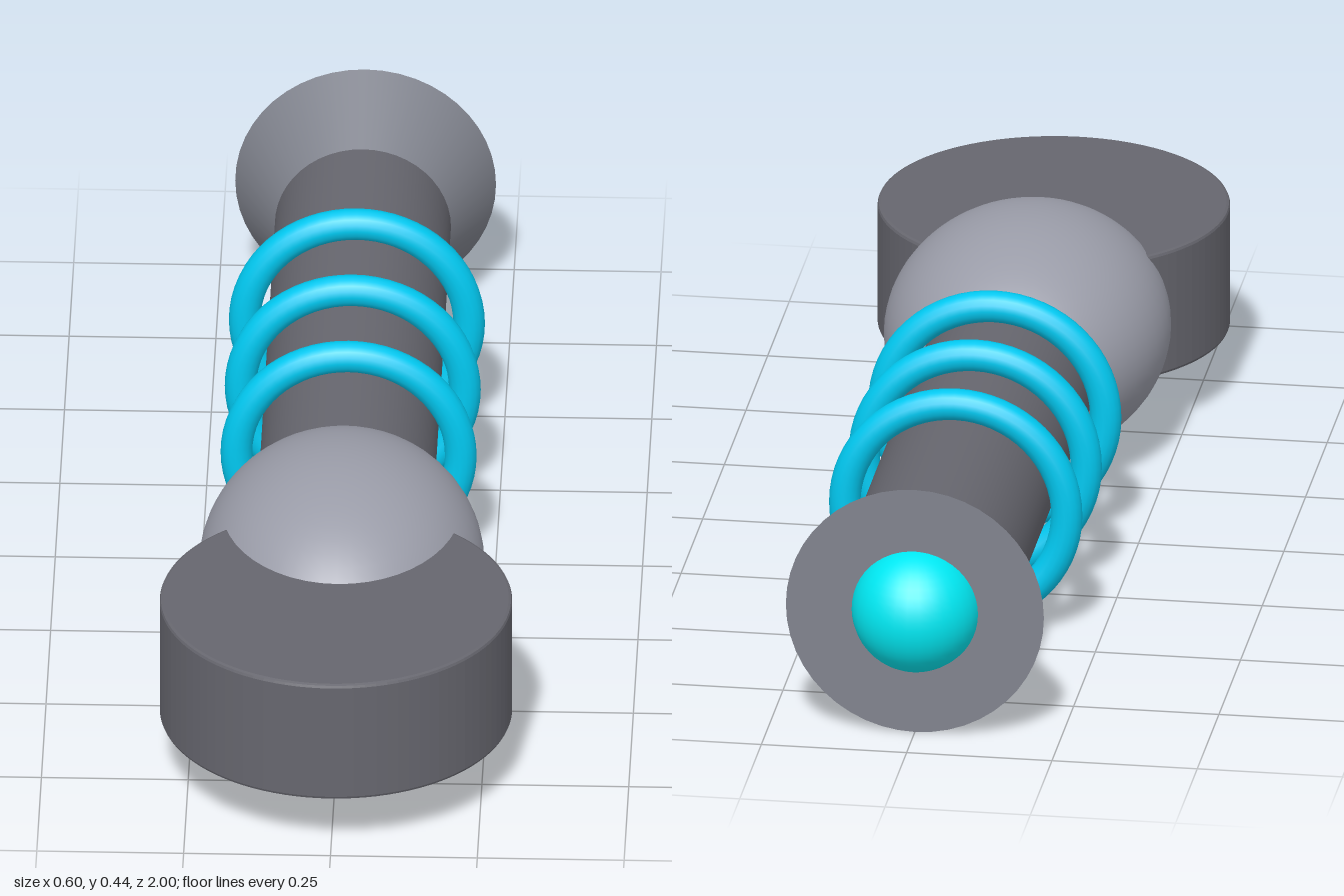
import * as THREE from 'three';

const AXIS_Y = 0.225;
const material = (color) => new THREE.MeshStandardMaterial({ color });

export function createModel() {
  const model = new THREE.Group();
  const dark = material(0x66666e);
  const medium = material(0x80838d);
  const light = material(0x9a9ca8);
  const ringBlue = material(0x00c8f0);
  const gemCyan = material(0x00e8f2);

  const add = (name, geometry, mat, z) => {
    const mesh = new THREE.Mesh(geometry, mat);
    mesh.name = name;
    mesh.position.set(0, AXIS_Y, z);
    model.add(mesh);
    return mesh;
  };

  // Flat round head with a tiny bevel
  const bevel = 0.006;
  const circle = new THREE.Shape().absarc(0, 0, 0.3 - bevel, 0, Math.PI * 2);
  const head = new THREE.ExtrudeGeometry(circle, {
    depth: 0.225 - 2 * bevel, bevelEnabled: true, bevelThickness: bevel,
    bevelSize: bevel, bevelSegments: 2, curveSegments: 48,
  });
  head.translate(0, 0, -0.1125 + bevel).rotateX(Math.PI / 2);
  add('head', head, dark, 0.7);

  // Egg-shaped neck joining head and handle
  add('neck', new THREE.SphereGeometry(1, 48, 32).scale(0.243, 0.207, 0.31), light, 0.395);

  // Straight handle, from inside the neck to the flare
  add('handle', new THREE.CylinderGeometry(0.15, 0.15, 1.06, 48).rotateX(Math.PI / 2), dark, -0.23);

  // Rings floating around the handle
  [0.017, -0.208, -0.433].forEach((z, i) =>
    add(`ring${i + 1}`, new THREE.TorusGeometry(0.191, 0.027, 16, 64), ringBlue, z));

  // Flared end, widest at the back
  add('flare', new THREE.CylinderGeometry(0.15, 0.222, 0.147, 48).rotateX(Math.PI / 2), medium, -0.8315);

  // Rounded gem set in the flare
  add('gem', new THREE.SphereGeometry(0.11, 32, 24), gemCyan, -0.89);

  return model;
}
